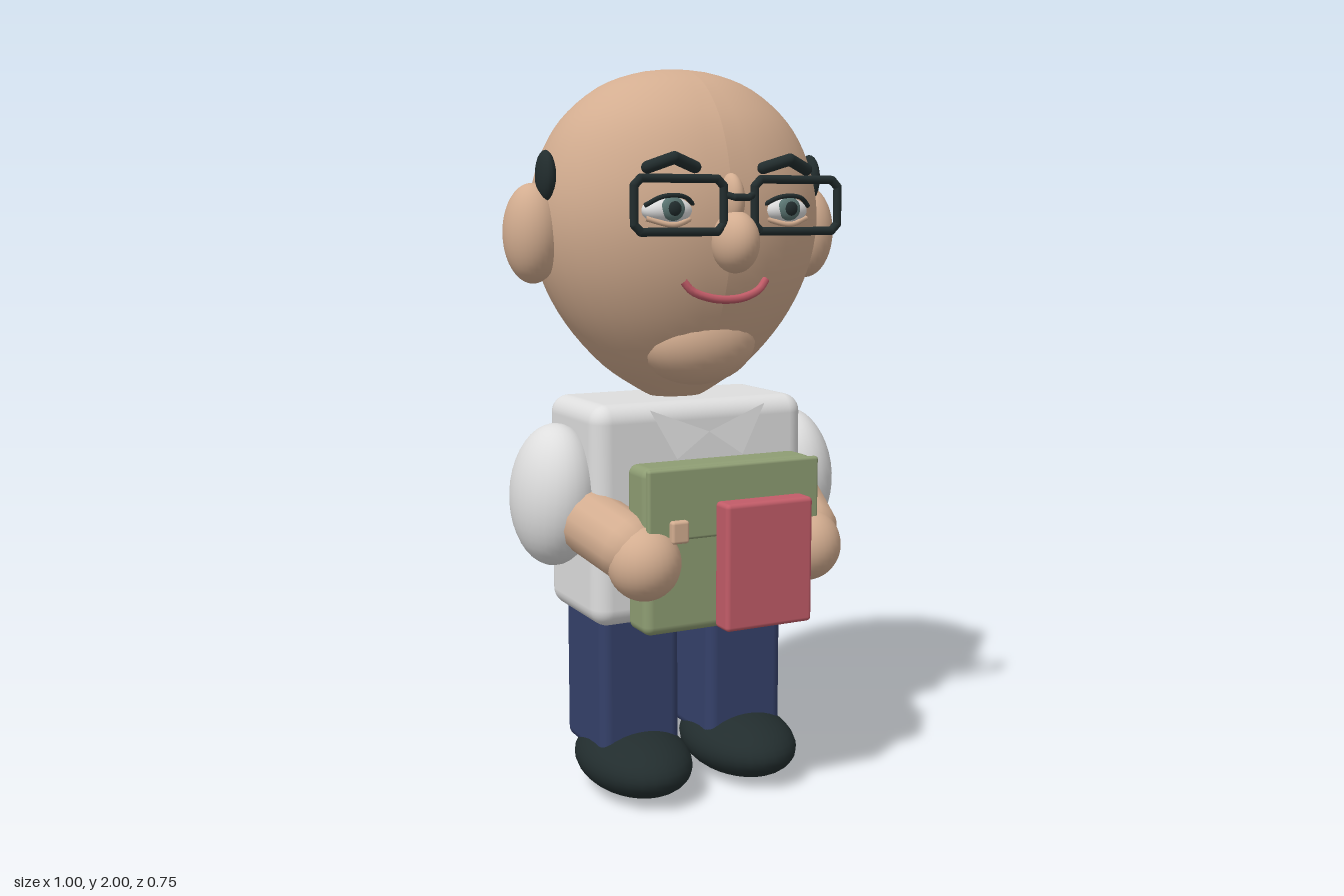
import * as THREE from 'three';
import { RoundedBoxGeometry } from 'three/addons/geometries/RoundedBoxGeometry.js';

const mat = (name, color, side = THREE.FrontSide) => {
  const m = new THREE.MeshStandardMaterial({ color, side });
  m.name = name;
  return m;
};

export function createModel() {
  const skin = mat('skin', 0xd3ad90);
  const shirt = mat('shirt white', 0xdedede, THREE.DoubleSide);
  const navy = mat('trouser navy', 0x35416a);
  const dark = mat('charcoal', 0x222d2e);
  const green = mat('bag green', 0x8e9d73);
  const red = mat('book red', 0xc25c68);
  const iris = mat('iris grey', 0x5b7673);

  const model = new THREE.Group();
  model.name = 'figure';
  const V = (x, y, z) => new THREE.Vector3(x, y, z);

  const add = (name, geo, material, x = 0, y = 0, z = 0, parent = model) => {
    const mesh = new THREE.Mesh(geo, material);
    mesh.name = name;
    mesh.position.set(x, y, z);
    parent.add(mesh);
    return mesh;
  };
  const ball = (name, material, [x, y, z], [rx, ry, rz], seg = 28) => {
    const geo = new THREE.SphereGeometry(1, seg, Math.ceil(seg * 0.7));
    geo.scale(rx, ry, rz);
    return add(name, geo, material, x, y, z);
  };
  // rounded box given by its extents
  const block = (name, material, [x0, x1], [y0, y1], [z0, z1], r) =>
    add(name, new RoundedBoxGeometry(x1 - x0, y1 - y0, z1 - z0, 4, r), material,
      (x0 + x1) / 2, (y0 + y1) / 2, (z0 + z1) / 2);
  // round-ended rods along a chain of points
  const rods = (name, material, pts, r, closed = false) => {
    const group = new THREE.Group();
    group.name = name;
    model.add(group);
    const n = closed ? pts.length : pts.length - 1;
    for (let i = 0; i < n; i++) {
      const a = pts[i], b = pts[(i + 1) % pts.length];
      const d = b.clone().sub(a);
      const rod = add(name + 'Segment', new THREE.CapsuleGeometry(r, d.length(), 6, 14), material, 0, 0, 0, group);
      rod.position.copy(a).add(b).multiplyScalar(0.5);
      rod.quaternion.setFromUnitVectors(V(0, 1, 0), d.normalize());
    }
  };
  const arc = (name, material, pts, r) =>
    add(name, new THREE.TubeGeometry(new THREE.CatmullRomCurve3(pts), 20, r, 8), material);

  // egg-shaped head, wider than deep
  const profile = [[0, 1.09], [0.14, 1.102], [0.3, 1.137], [0.52, 1.2], [0.74, 1.3], [0.885, 1.4],
    [0.97, 1.5], [1, 1.6], [0.97, 1.7], [0.88, 1.8], [0.74, 1.88], [0.52, 1.95], [0.26, 1.988], [0, 2]];
  const curve = new THREE.SplineCurve(profile.map(([r, y]) => new THREE.Vector2(r, y)));
  const headPts = curve.getPoints(44);
  headPts.forEach(p => { p.x = Math.max(p.x, 0); });
  const headGeo = new THREE.LatheGeometry(headPts, 40);
  headGeo.scale(0.412, 1, 0.33);
  headGeo.computeVertexNormals();
  add('head', headGeo, skin, 0, 0, -0.045);
  ball('chin', skin, [0, 1.27, 0.085], [0.17, 0.12, 0.125]);
  ball('nose', skin, [0, 1.54, 0.3], [0.06, 0.08, 0.075]);
  ball('noseBridge', skin, [0, 1.645, 0.275], [0.032, 0.07, 0.05]);
  arc('mouth', red, [V(-0.122, 1.44, 0.247), V(-0.1, 1.415, 0.252), V(-0.05, 1.396, 0.262),
    V(0, 1.391, 0.265), V(0.05, 1.396, 0.262), V(0.1, 1.415, 0.252), V(0.122, 1.44, 0.247)], 0.011);

  // torso with buttons down the front
  block('torso', shirt, [-0.322, 0.322], [0.505, 1.11], [-0.215, 0.13], 0.05);
  for (const y of [0.88, 0.76, 0.64]) ball('button', dark, [0, y, 0.152], [0.012, 0.012, 0.008], 10);

  for (const s of [-1, 1]) {
    // ears and side hair
    ball('ear', skin, [s * 0.422, 1.56, -0.045], [0.077, 0.132, 0.088]);
    ball('sideHair', dark, [s * 0.402, 1.71, 0.005], [0.024, 0.066, 0.046], 16);

    // eyes with lash line and lower lid
    const ex = s * 0.17;
    ball('eye', shirt, [ex, 1.62, 0.25], [0.07, 0.036, 0.042]);
    ball('iris', iris, [ex, 1.625, 0.283], [0.033, 0.031, 0.015], 18);
    ball('pupil', dark, [ex, 1.625, 0.291], [0.02, 0.02, 0.011], 14);
    arc('upperLid', dark, [V(ex - 0.07, 1.632, 0.263), V(ex - 0.035, 1.653, 0.285),
      V(ex, 1.658, 0.29), V(ex + 0.035, 1.653, 0.285), V(ex + 0.07, 1.632, 0.263)], 0.006);
    arc('lowerLid', skin, [V(ex - 0.065, 1.6, 0.262), V(ex, 1.584, 0.285), V(ex + 0.065, 1.6, 0.262)], 0.007);
    rods('eyebrow', dark, [V(s * 0.232, 1.727, 0.265), V(s * 0.168, 1.751, 0.287), V(s * 0.1, 1.729, 0.268)], 0.016);

    // spectacle frame with clipped corners
    const w = 0.125, h = 0.066, c = 0.018;
    const rim = [[w, h - c], [w - c, h], [c - w, h], [-w, h - c], [-w, c - h], [c - w, -h], [w - c, -h], [w, c - h]];
    rods('spectacleRim', dark, rim.map(([x, y]) => V(ex + x, 1.633 + y, 0.32)), 0.011, true);

    // collar flap
    const collar = new THREE.BufferGeometry().setFromPoints(
      [V(s * 0.175, 1.097, 0.155), V(s * 0.1, 0.962, 0.168), V(0, 1.03, 0.162)]);
    collar.setIndex(s > 0 ? [0, 2, 1] : [0, 1, 2]);
    collar.computeVertexNormals();
    add('collar', collar, shirt);

    // sleeve, forearm, hand and thumb
    const sleeve = ball('sleeve', shirt, [s * 0.372, 0.855, -0.04], [0.117, 0.195, 0.152]);
    sleeve.rotation.z = s * 0.06;
    rods('forearm', skin, [V(s * 0.325, 0.805, 0.04), V(s * 0.27, 0.75, 0.22)], 0.09);
    ball('hand', skin, [s * 0.245, 0.715, 0.263], [0.097, 0.1, 0.1]);
    block('thumb', skin, [s * 0.17 - 0.025, s * 0.17 + 0.025], [0.77, 0.83], [0.28, 0.33], 0.008);

    // legs and shoes
    block('trouserLeg', navy, [s * 0.165 - 0.12, s * 0.165 + 0.12], [0.11, 0.56], [-0.185, 0.08], 0.03);
    ball('shoe', dark, [s * 0.168, 0.0925, 0.022], [0.152, 0.0925, 0.223]);
  }
  rods('spectacleBridge', dark, [V(-0.04, 1.66, 0.32), V(-0.02, 1.653, 0.335), V(0.02, 1.653, 0.335), V(0.04, 1.66, 0.32)], 0.009);

  // carried bag with front flap, and a book
  block('bag', green, [-0.255, 0.255], [0.52, 0.965], [0.175, 0.292], 0.025);
  block('bagFlap', green, [-0.255, 0.255], [0.775, 0.965], [0.29, 0.312], 0.008);
  block('book', red, [-0.06, 0.2], [0.53, 0.87], [0.306, 0.375], 0.012);

  return model;
}
